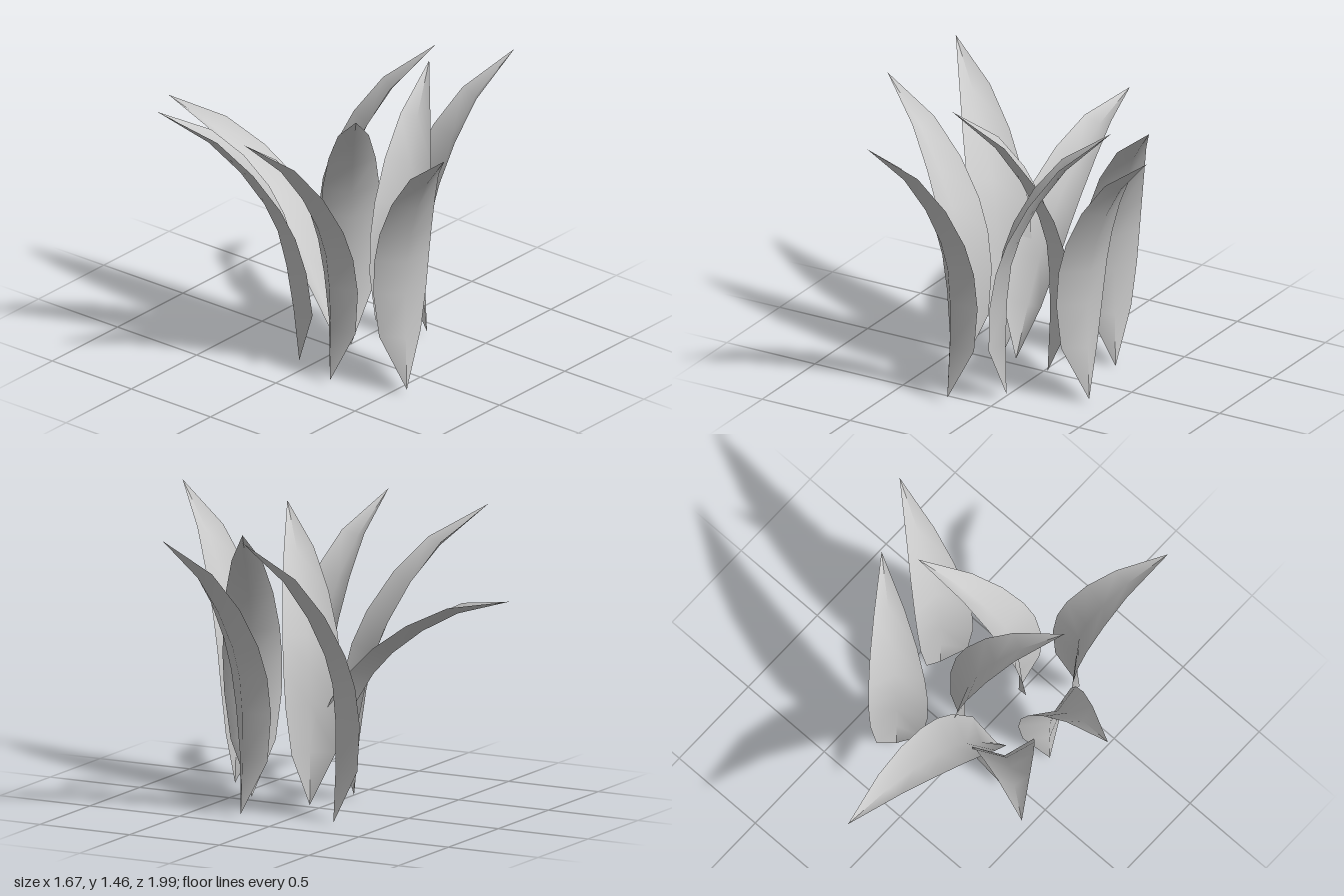
import * as THREE from 'three';

// Leaf rows from root to tip: [forward, up, half width, fold depth]
const ROWS = [
  [0, 0, 0, 0],
  [-0.01, 0.27, 0.11, 0.07],
  [-0.008, 0.5, 0.14, 0.07],
  [0.008, 0.68, 0.145, 0.06],
  [0.05, 0.83, 0.138, 0.055],
  [0.14, 1.02, 0.115, 0.05],
  [0.265, 1.205, 0.075, 0.04],
  [0.48, 1.415, 0, 0],
];
const [TIP_X, TIP_Y] = ROWS[ROWS.length - 1];

// Root and tip of every leaf: [x, y, z]
const LEAVES = [
  [[-0.11, 0.07, 0.08], [-0.11, 1.11, -1.0]],
  [[-0.26, 0.02, -0.05], [-0.8, 1.42, -0.5]],
  [[-0.34, 0.02, 0.21], [-0.84, 1.43, 0.08]],
  [[0.04, 0.02, 0.03], [-0.31, 1.44, 0.35]],
  [[0.01, 0.02, 0.37], [0.48, 1.43, 0.16]],
  [[0.27, 0.0, -0.23], [0.64, 1.43, 0.07]],
  [[0.39, 0.02, 0.22], [0.83, 1.44, 0.41]],
  [[-0.2, 0.03, 0.58], [-0.41, 1.46, 0.99]],
];

// V-folded blade: the midrib curves forward, both edges lie behind it
function leafGeometry() {
  const geometry = new THREE.PlaneGeometry(1, 1, 2, ROWS.length - 1);
  const position = geometry.attributes.position;
  ROWS.forEach(([x, y, width, depth], i) => {
    const before = ROWS[Math.max(i - 1, 0)];
    const after = ROWS[Math.min(i + 1, ROWS.length - 1)];
    const dx = after[0] - before[0], dy = after[1] - before[1];
    const length = Math.hypot(dx, dy);
    for (let side = -1; side <= 1; side++) {
      const fold = Math.abs(side) * depth / length;
      position.setXYZ(i * 3 + side + 1, x - dy * fold, y + dx * fold, side * width);
    }
  });
  geometry.computeVertexNormals();
  return geometry;
}

export function createModel() {
  const plant = new THREE.Group();
  plant.name = 'leafCluster';
  const geometry = leafGeometry();
  const material = new THREE.MeshStandardMaterial({ color: 0xcccccc, side: THREE.DoubleSide });

  // Turn, tilt and scale the leaf so it runs from its root to its tip
  LEAVES.forEach(([root, tip], i) => {
    const [dx, dy, dz] = tip.map((v, k) => v - root[k]);
    const reach = Math.hypot(dx, dz);
    const leaf = new THREE.Mesh(geometry, material);
    leaf.name = `leaf${i + 1}`;
    leaf.position.set(...root);
    leaf.rotation.set(0, Math.atan2(-dz, dx), Math.atan2(dy, reach) - Math.atan2(TIP_Y, TIP_X), 'YXZ');
    leaf.scale.setScalar(Math.hypot(reach, dy) / Math.hypot(TIP_X, TIP_Y));
    plant.add(leaf);
  });
  return plant;
}
